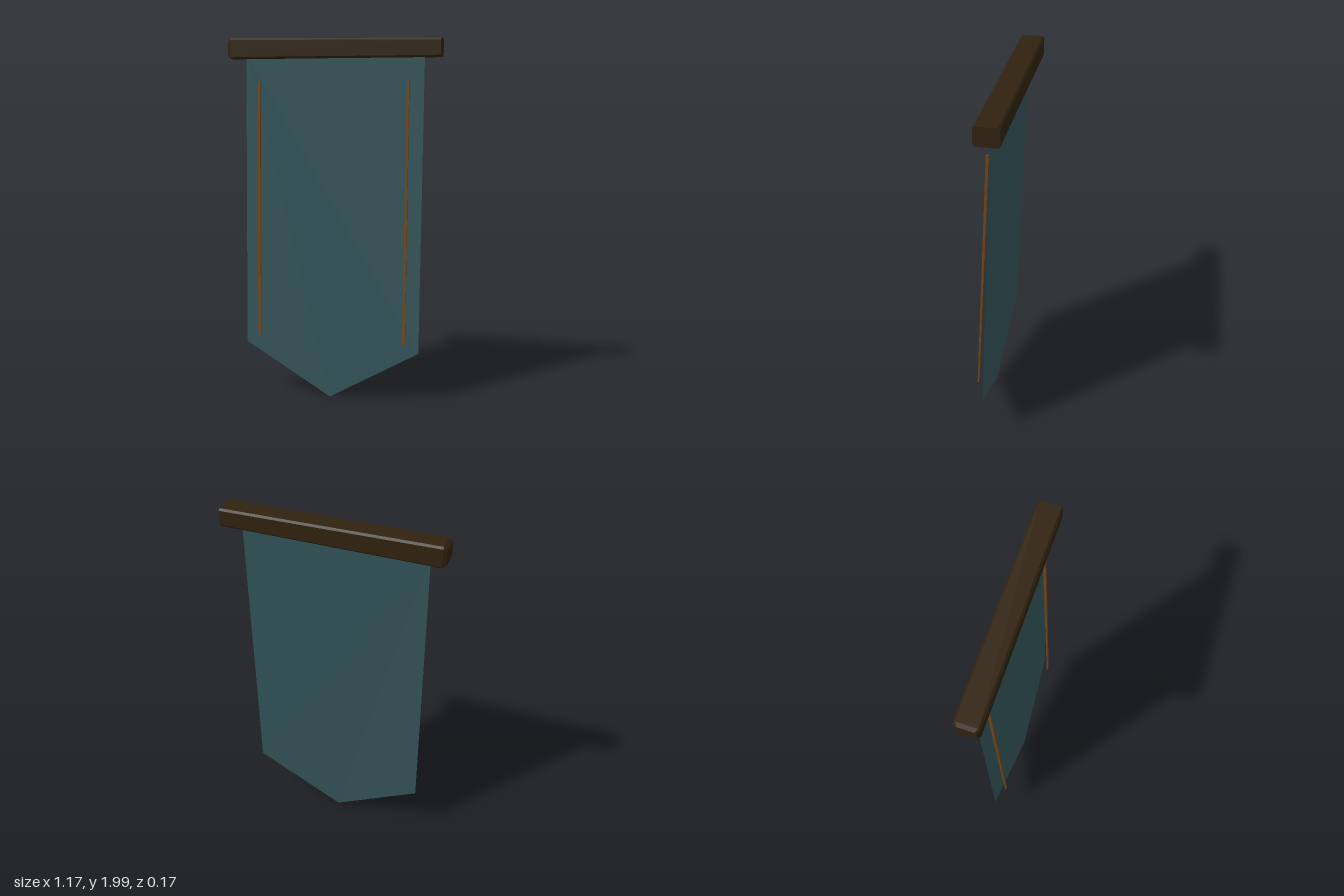
import * as THREE from 'three';

// Loft through rings of equal point count, with capped ends and flat faces
function loft(rings) {
  const pos = [];
  const tri = (a, b, c) => pos.push(...a, ...b, ...c);
  const n = rings[0].length;
  for (let r = 0; r < rings.length - 1; r++) {
    for (let i = 0; i < n; i++) {
      const j = (i + 1) % n, A = rings[r], B = rings[r + 1];
      tri(A[i], A[j], B[i]);
      tri(A[j], B[j], B[i]);
    }
  }
  const first = rings[0], last = rings[rings.length - 1];
  for (let i = 1; i < n - 1; i++) {
    tri(first[0], first[i + 1], first[i]);
    tri(last[0], last[i], last[i + 1]);
  }
  const geo = new THREE.BufferGeometry();
  geo.setAttribute('position', new THREE.Float32BufferAttribute(pos, 3));
  geo.computeVertexNormals();
  return geo;
}

// Chamfered rectangle across the beam, counter-clockwise seen from +x
function beamRing(x, y0, y1, z0, z1, c) {
  return [
    [x, y0, z1 - c], [x, y0, z0 + c], [x, y0 + c, z0], [x, y1 - c, z0],
    [x, y1, z0 + c], [x, y1, z1 - c], [x, y1 - c, z1], [x, y0 + c, z1],
  ];
}

export function createModel() {
  const group = new THREE.Group();
  const mat = (name, color) => {
    const m = new THREE.MeshStandardMaterial({ color, flatShading: true });
    m.name = name;
    return m;
  };
  const wood = mat('dark wood', 0x30220f);
  const cloth = mat('teal cloth', 0x335459);
  cloth.side = THREE.DoubleSide;
  const trim = mat('brown trim', 0x75461b);
  const add = (name, geo, material) => {
    const mesh = new THREE.Mesh(geo, material);
    mesh.name = name;
    group.add(mesh);
  };

  // Rough-hewn beam, slightly thinner towards its left end
  add('beam', loft([
    beamRing(-0.585, 1.902, 1.985, -0.074, 0.026, 0.01),
    beamRing(-0.567, 1.887, 2.0, -0.087, 0.039, 0.01),
    beamRing(0.585, 1.894, 1.991, -0.084, 0.043, 0.01),
  ]), wood);

  // Pointed cloth hanging at a slight forward lean
  const shape = new THREE.Shape();
  shape.moveTo(-0.495, 1.92);
  shape.lineTo(-0.495, 0.29);
  shape.lineTo(0, 0.008);
  shape.lineTo(0.495, 0.29);
  shape.lineTo(0.495, 1.92);
  const sheet = new THREE.ShapeGeometry(shape);
  const p = sheet.attributes.position;
  for (let i = 0; i < p.count; i++) {
    const y = p.getY(i);
    p.setZ(i, y < 0.1 ? 0.067 : THREE.MathUtils.mapLinear(y, 1.92, 0.29, -0.018, 0.042));
  }
  sheet.computeVertexNormals();
  add('cloth', sheet, cloth);

  // Narrow trim strips standing just off the front of the cloth
  const stripRing = (x, y, z, w, d) => [
    [x - w, y, z - d], [x - w, y, z + d], [x + w, y, z + d], [x + w, y, z - d],
  ];
  for (const [name, xTop, xBottom] of [['rightTrim', -0.412, -0.406], ['leftTrim', 0.413, 0.419]]) {
    add(name, loft([
      stripRing(xBottom, 0.35, 0.082, 0.008, 0.004),
      stripRing(xTop, 1.765, 0.014, 0.006, 0.007),
    ]), trim);
  }
  return group;
}
